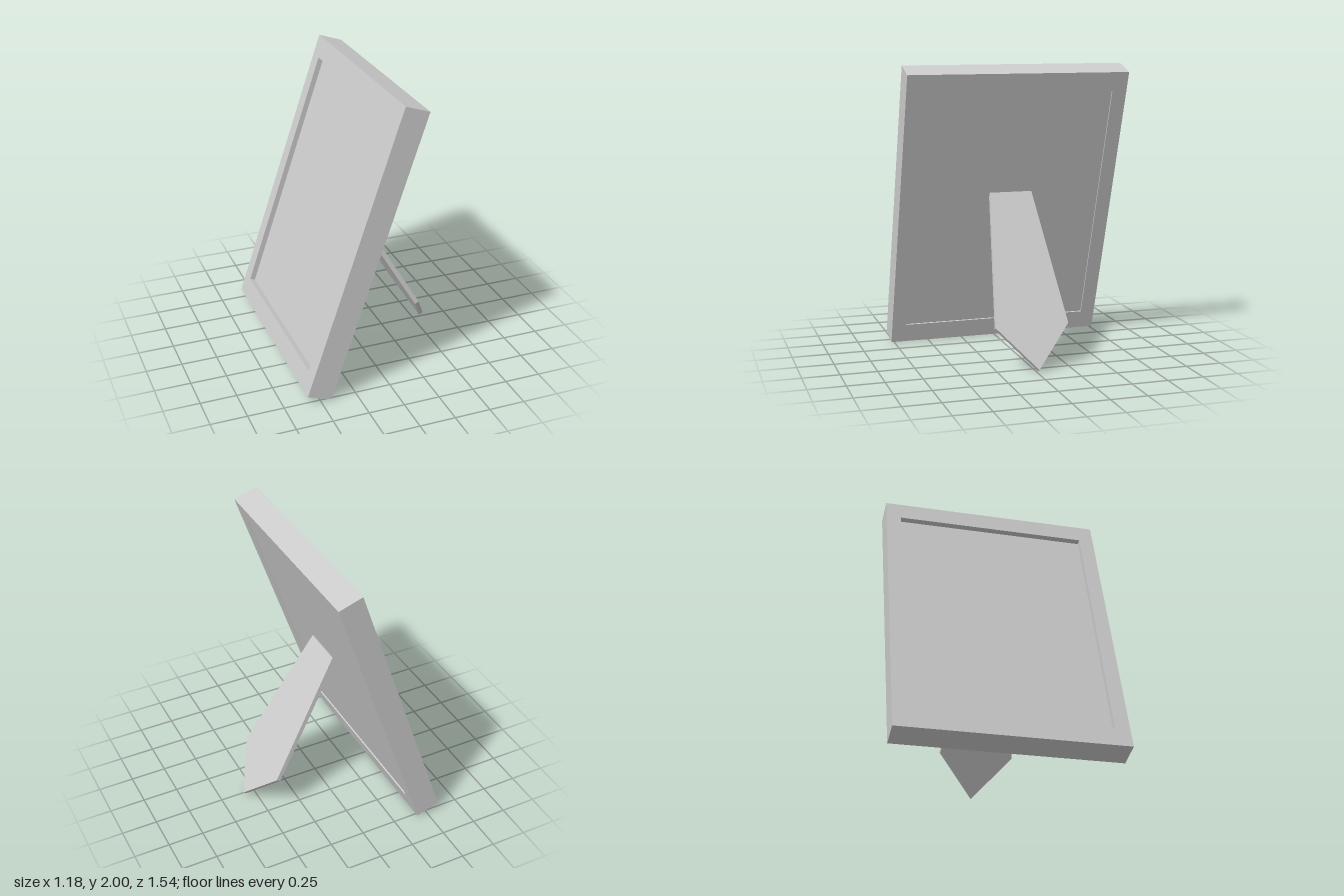
import * as THREE from 'three';

const material = new THREE.MeshStandardMaterial({ color: 0xcccccc, flatShading: true });

// Flat outline, extruded to a slab whose thickness runs along x (from x0) and whose width runs along z
function slab(shape, thickness, x0) {
  const geometry = new THREE.ExtrudeGeometry(shape, { depth: thickness, bevelEnabled: false });
  return geometry.rotateY(Math.PI / 2).translate(x0, 0, 0);
}

function addMesh(parent, name, geometry) {
  const mesh = new THREE.Mesh(geometry, material);
  mesh.name = name;
  parent.add(mesh);
  return mesh;
}

function rectangle(w, h) {
  return [[-w, -h], [w, -h], [w, h], [-w, h]].map(([x, y]) => new THREE.Vector2(x / 2, y / 2));
}

export function createModel() {
  const model = new THREE.Group();
  model.name = 'pictureFrame';

  const width = 1.54, height = 2.052, thickness = 0.175;
  const openWidth = 1.334, openHeight = 1.774;
  const frontRecess = 0.038, backRecess = 0.01;

  // Leaning frame: a border with a panel set deep at the front and almost flush at the back
  const frame = new THREE.Group();
  frame.name = 'frame';
  frame.position.set(-0.18, 1, -0.001);
  frame.rotation.z = -Math.atan2(0.655, 1.94);
  model.add(frame);

  const border = new THREE.Shape(rectangle(width, height));
  border.holes.push(new THREE.Path(rectangle(openWidth, openHeight)));
  addMesh(frame, 'border', slab(border, thickness, -thickness / 2));
  const panel = addMesh(frame, 'picturePanel',
    new THREE.BoxGeometry(thickness - frontRecess - backRecess, openHeight, openWidth));
  panel.position.x = (frontRecess - backRecess) / 2;

  // Pointed support leg, widest near its foot
  const outline = [[0, 0], [0.255, 0.305], [0.15, 1.27], [-0.15, 1.27], [-0.255, 0.305]];
  const legShape = new THREE.Shape(outline.map(([x, y]) => new THREE.Vector2(x, y)));
  const leg = addMesh(model, 'supportLeg', slab(legShape, 0.032, -0.032));
  leg.position.set(0.588, 0.016, -0.015);
  leg.rotation.z = Math.atan2(0.637, 1.095);

  return model;
}
